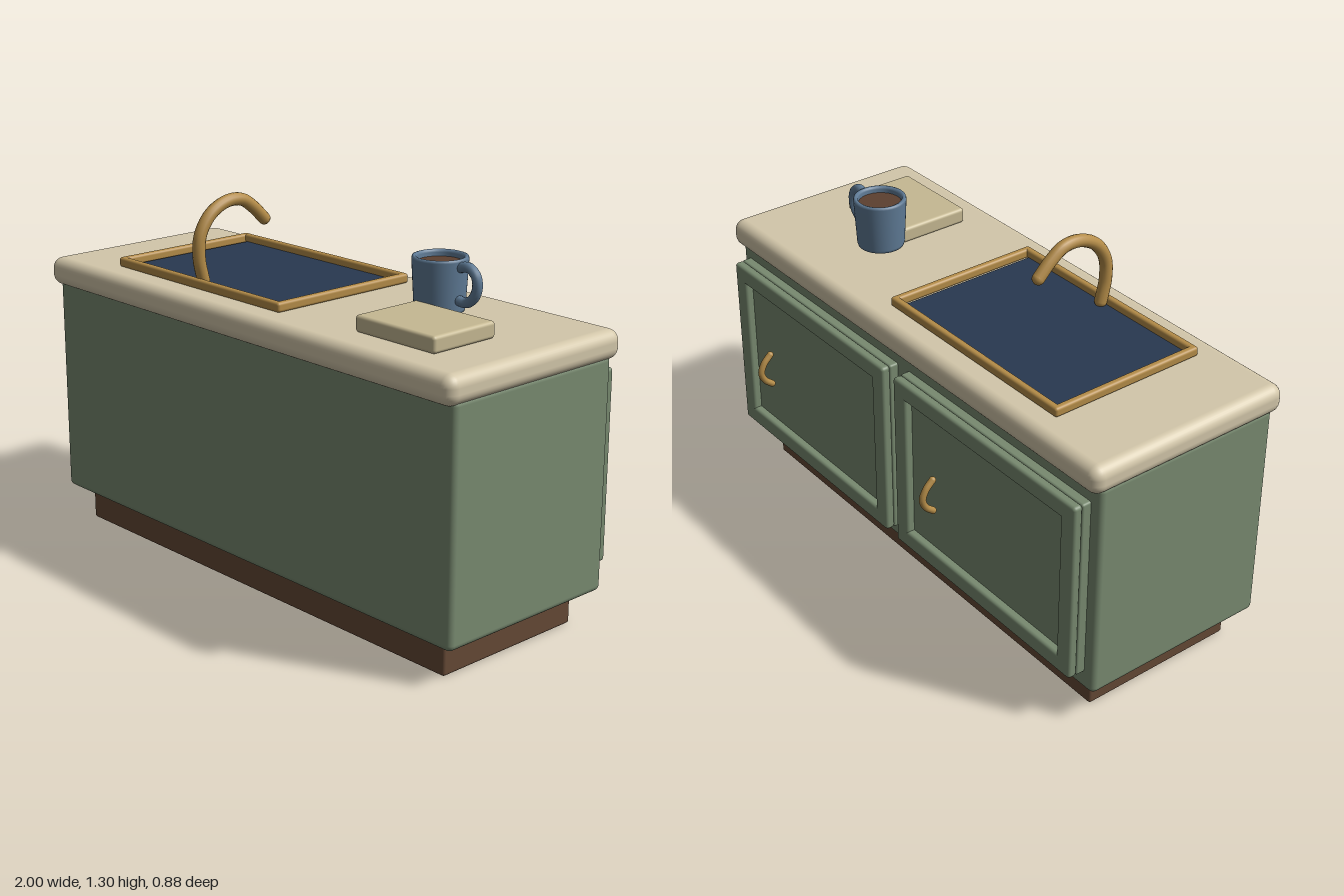
import * as THREE from 'three';
import { RoundedBoxGeometry } from 'three/addons/geometries/RoundedBoxGeometry.js';

const mat = (color, side = THREE.FrontSide) => new THREE.MeshStandardMaterial({ color, side });

export function createModel() {
  const model = new THREE.Group();
  model.name = 'kitchenIsland';
  const green = mat(0x788a70), stone = mat(0xd3c7aa), brass = mat(0xb48c48), wood = mat(0x644835);
  const navy = mat(0x283850), blue = mat(0x5f7b96, THREE.DoubleSide), coffeeBrown = mat(0x5c4030);
  const boardTan = mat(0xc6b993);

  const add = (parent, name, geometry, material, x = 0, y = 0, z = 0) => {
    const mesh = new THREE.Mesh(geometry, material);
    mesh.name = name;
    mesh.position.set(x, y, z);
    parent.add(mesh);
    return mesh;
  };
  const group = (name, x = 0, y = 0, z = 0) => {
    const g = new THREE.Group();
    g.name = name;
    g.position.set(x, y, z);
    model.add(g);
    return g;
  };
  // Rounded box given by its [min, max] range on each axis
  const box = (parent, name, material, [x0, x1], [y0, y1], [z0, z1], r) =>
    add(parent, name, new RoundedBoxGeometry(x1 - x0, y1 - y0, z1 - z0, 4, r), material,
      (x0 + x1) / 2, (y0 + y1) / 2, (z0 + z1) / 2);
  // Round rod along [z, y] points, closed by domed ends
  const rod = (parent, name, points, radius, material) => {
    const path = points.map(([z, y]) => new THREE.Vector3(0, y, z));
    add(parent, name, new THREE.TubeGeometry(new THREE.CatmullRomCurve3(path), 40, radius, 14), material);
    for (const p of [path[0], path[path.length - 1]])
      add(parent, name + 'End', new THREE.SphereGeometry(radius, 14, 10), material, p.x, p.y, p.z);
  };

  // Cabinet
  box(model, 'plinth', wood, [-0.91, 0.91], [0, 0.14], [-0.24, 0.35], 0.01);
  box(model, 'cabinetBody', green, [-0.987, 0.987], [0.122, 0.92], [-0.3, 0.407], 0.022);
  box(model, 'countertop', stone, [-1, 1], [0.9, 1], [-0.335, 0.442], 0.04);

  // Two framed doors on the back, each with a bent pull
  for (const [name, cx, pullX] of [['rightDoor', -0.488, 0.217], ['leftDoor', 0.486, 0.219]]) {
    const door = group(name, cx, 0.525, 0);
    const w = 0.458, h = 0.33, rail = 0.065;
    box(door, 'doorPanel', green, [-w, w], [-h, h], [-0.333, -0.295], 0.008);
    for (const s of [-1, 1]) {
      const stile = [s * (w - rail), s * w].sort((a, b) => a - b);
      const bar = [s * (h - rail), s * h].sort((a, b) => a - b);
      box(door, 'doorStile', green, stile, [-h, h], [-0.365, -0.33], 0.012);
      box(door, 'doorRail', green, [-w, w], bar, [-0.365, -0.33], 0.012);
    }
    const pull = new THREE.Group();
    pull.name = 'doorPull';
    pull.position.x = pullX;
    door.add(pull);
    rod(pull, 'pullRod', [[-0.385, 0.064], [-0.413, 0.035], [-0.426, 0], [-0.413, -0.033], [-0.385, -0.058]], 0.012, brass);
  }

  // Sink with a brass rim
  const sink = group('sink');
  add(sink, 'basin', new THREE.BoxGeometry(0.785, 0.02, 0.54), navy, -0.283, 0.998, 0.05);
  for (const x of [-0.697, 0.132])
    box(sink, 'rimSide', brass, [x - 0.013, x + 0.013], [1, 1.034], [-0.243, 0.344], 0.01);
  for (const z of [-0.23, 0.331])
    box(sink, 'rimLength', brass, [-0.71, 0.145], [1, 1.034], [z - 0.013, z + 0.013], 0.01);

  // Faucet arching over the basin
  const faucet = group('faucet', -0.283);
  rod(faucet, 'faucetSpout', [[0.305, 1.02], [0.322, 1.1], [0.315, 1.18], [0.27, 1.245], [0.2, 1.279],
    [0.135, 1.277], [0.085, 1.245], [0.035, 1.197]], 0.022, brass);

  // Cutting board
  box(model, 'cuttingBoard', boardTan, [0.465, 0.808], [1, 1.056], [0.043, 0.312], 0.012);

  // Mug: one profile for the outside, lip and inside
  const mug = group('mug', 0.497, 1, -0.03);
  const profile = [[0, 0.012], [0.072, 0.012], [0.08, 0.016], [0.083, 0.026], [0.092, 0.186], [0.09, 0.193],
    [0.084, 0.195], [0.077, 0.192], [0.075, 0.185], [0.07, 0.05], [0, 0.045]];
  add(mug, 'mugCup', new THREE.LatheGeometry(profile.map(([r, y]) => new THREE.Vector2(r, y)), 40), blue);
  add(mug, 'coffee', new THREE.CylinderGeometry(0.075, 0.072, 0.02, 32), coffeeBrown, 0, 0.163, 0);
  const handlePath = new THREE.CatmullRomCurve3([[0.083, 0.168], [0.125, 0.175], [0.156, 0.152], [0.162, 0.115],
    [0.145, 0.078], [0.115, 0.06], [0.08, 0.062]].map(([x, y]) => new THREE.Vector3(x, y, 0)));
  add(mug, 'mugHandle', new THREE.TubeGeometry(handlePath, 32, 0.017, 12), blue);

  return model;
}
